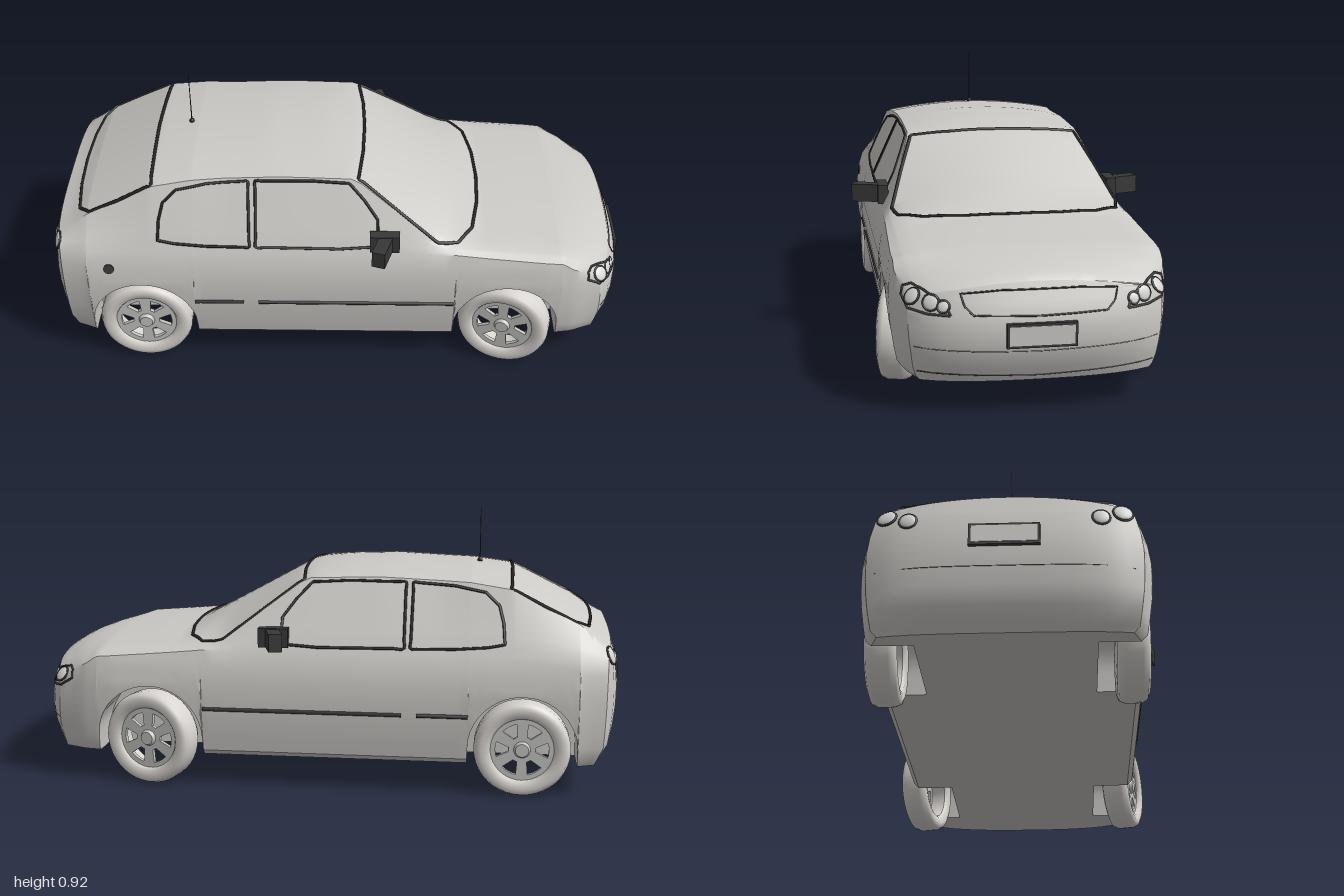
import * as THREE from 'three';
import { mergeVertices, toCreasedNormals } from 'three/addons/utils/BufferGeometryUtils.js';

const mat = (name, color) => new THREE.MeshStandardMaterial({ name, color });
const V = (x, y, z) => new THREE.Vector3(x, y, z);

// piecewise linear lookup in [key, value] pairs
function look(table, k) {
  if (k <= table[0][0]) return table[0][1];
  for (let i = 1; i < table.length; i++) {
    const [a, va] = table[i - 1], [b, vb] = table[i];
    if (k <= b) return va + (vb - va) * (k - a) / (b - a);
  }
  return table[table.length - 1][1];
}

// body shape along x: centre height, cant rail height and half width, end taper
const TOP = [[-1, .54], [-.93, .565], [-.88, .59], [-.64, .712], [-.5, .732], [-.25, .745], [-.05, .738], [.08, .718],
  [.48, .5], [.6, .49], [.75, .475], [.85, .46], [.95, .435], [1, .41]];
const RAIL_Y = [[-1, .5], [-.9, .55], [-.64, .68], [-.5, .7], [-.2, .712], [.05, .705], [.2, .595], [.34, .49],
  [.5, .475], [.75, .455], [.9, .42], [1, .37]];
const RAIL_Z = [[-1, .34], [-.9, .335], [-.64, .32], [-.4, .3], [.05, .3], [.2, .345], [.34, .39], [.5, .385], [.75, .38], [1, .36]];
const TAPER = [[-1, .94], [-.86, 1], [.7, 1], [.88, .97], [1, .89]];
// half width of the lower side by height, and overhang of both ends by height
const SIDE = [[.1, .39], [.125, .415], [.25, .432], [.35, .435], [.42, .425], [.47, .41]];
const NOSE = [[.1, .18], [.14, .2], [.21, .23], [.3, .23], [.35, .21], [.42, .18]];
const TAIL = [[.1, .07], [.17, .12], [.27, .138], [.36, .14], [.45, .13], [.55, .1]];

const FLOOR = .105, ARCH_R = .18, ARCH_Y = .165, AXLES = [-.68, .575], WHEEL_R = .16;

function lowerEdge(x) {
  for (const c of AXLES) {
    const d = Math.abs(x - c);
    if (d <= ARCH_R + 1e-6) return ARCH_Y + Math.sqrt(Math.max(0, ARCH_R ** 2 - d * d));
  }
  return FLOOR;
}

// round the nose and tail in plan and in side view
function warp(u, y, z) {
  const round = p => Math.pow(Math.max(0, 1 - Math.pow(Math.abs(z) / .436, p)), 1 / p);
  if (u > .76) return .76 + (u - .76) / .24 * look(NOSE, y) * round(2.6);
  if (u < -.86) return -.86 + (u + .86) / .14 * look(TAIL, y) * round(3.5);
  return u;
}

// half section from the floor centre, through wheel well and side, to the roof centre
function section(u) {
  const yb = lowerEdge(u), top = look(TOP, u), ry = look(RAIL_Y, u), rz = look(RAIL_Z, u), k = look(TAPER, u);
  const belt = Math.min(.47, ry - .015), pts = [[0, FLOOR], [.27, FLOOR], [.27, yb]];
  for (const t of [0, .05, .18, .35, .52, .7, .85, 1]) {
    const y = yb + (belt - yb) * t;
    pts.push([look(SIDE, y) * k, y]);
  }
  const beltZ = look(SIDE, belt) * k, railZ = Math.min(rz, beltZ - .008);
  for (const t of [.33, .67]) pts.push([beltZ + (railZ - beltZ) * t, belt + (ry - belt) * t]);
  for (let i = 0; i <= 8; i++) {
    const t = i / 8;
    pts.push([railZ * (1 - t), ry + (top - ry) * (1 - (1 - t) ** 2)]);
  }
  return pts;
}

function bodyGeometry() {
  const us = [];
  for (let i = 0; i <= 56; i++) us.push(-1 + i / 28);
  for (const c of AXLES) {
    for (let i = 0; i <= 20; i++) us.push(c + ARCH_R * Math.cos(Math.PI * i / 20));
    us.push(c - ARCH_R - .002, c + ARCH_R + .002);
  }
  us.sort((a, b) => a - b);
  const rows = us.map(section), pos = [];
  const point = (i, j, s) => { const [z, y] = rows[i][j]; return [warp(us[i], y, z * s), y, z * s]; };
  const quad = (a, b, c, d, flip) => flip ? pos.push(...a, ...c, ...b, ...a, ...d, ...c) : pos.push(...a, ...b, ...c, ...a, ...c, ...d);
  const n = rows[0].length, last = us.length - 1;
  for (let j = 0; j < n - 1; j++) {
    for (let i = 0; i < last; i++) for (const s of [1, -1])
      quad(point(i, j, s), point(i + 1, j, s), point(i + 1, j + 1, s), point(i, j + 1, s), s < 0);
    for (let k = -8; k < 8; k++) for (const i of [0, last])
      quad(point(i, j, k / 8), point(i, j + 1, k / 8), point(i, j + 1, (k + 1) / 8), point(i, j, (k + 1) / 8), i === 0);
  }
  const g = new THREE.BufferGeometry();
  g.setAttribute('position', new THREE.Float32BufferAttribute(pos, 3));
  return toCreasedNormals(mergeVertices(g, 1e-5), .6);
}

export function createModel() {
  const car = new THREE.Group();
  const paint = mat('silver paint', 0xcccac6), tyre = mat('pale tyre', 0xd8d4cf), rim = mat('rim grey', 0xc2c2c0);
  const trim = mat('dark trim', 0x383838), seal = mat('black seal', 0x242424), lens = mat('lamp lens', 0xd6d6d4);
  const line = mat('panel line', 0x70706e);
  const add = (name, geo, m, parent = car) => {
    const o = new THREE.Mesh(geo, m);
    o.name = name;
    parent.add(o);
    return o;
  };
  const body = add('body', bodyGeometry(), paint);

  // find the body surface: from the side (x, y), above (x, z) or an end (y, z)
  const ray = new THREE.Raycaster();
  const from = {
    left: (x, y) => [V(x, y, 3), V(0, 0, -1)], right: (x, y) => [V(x, y, -3), V(0, 0, 1)],
    above: (x, z) => [V(x, 3, z), V(0, -1, 0)],
    nose: (y, z) => [V(3, y, z), V(-1, 0, 0)], tail: (y, z) => [V(-3, y, z), V(1, 0, 0)],
  };
  const hit = (dir, a, b) => {
    ray.set(...from[dir](a, b));
    return ray.intersectObject(body)[0];
  };
  // a thin strip following the body surface
  function seam(name, dir, pts, r, m, closed = true) {
    const out = [], edges = closed ? pts.length : pts.length - 1;
    for (let e = 0; e < edges; e++) {
      const p = pts[e], q = pts[(e + 1) % pts.length];
      for (let i = 0; i < 8; i++) out.push(hit(dir, p[0] + (q[0] - p[0]) * i / 8, p[1] + (q[1] - p[1]) * i / 8));
    }
    if (!closed) out.push(hit(dir, ...pts[pts.length - 1]));
    const curve = new THREE.CatmullRomCurve3(out.filter(Boolean).map(h => h.point), closed);
    add(name, new THREE.TubeGeometry(curve, out.length * 2, r, 6, closed), m);
  }
  // a group lying on the surface with +z pointing outward
  function mount(name, dir, a, b) {
    const g = new THREE.Group(), h = hit(dir, a, b);
    g.name = name;
    if (h) { g.position.copy(h.point); g.lookAt(h.point.clone().add(h.face.normal)); }
    car.add(g);
    return g;
  }
  function lamp(name, dir, y, z, r) {
    const g = mount(name, dir, y, z);
    add('lampRing', new THREE.TorusGeometry(r, .0035, 6, 24), trim, g);
    add('lampLens', new THREE.SphereGeometry(r, 20, 10), lens, g).scale.z = .3;
  }

  // window seals
  const rearSide = [[-.615, .51], [-.61, .575], [-.595, .63], [-.55, .67], [-.45, .688], [-.31, .697], [-.307, .49], [-.45, .492], [-.56, .5]];
  const frontSide = [[-.285, .698], [-.1, .7], [.03, .692], [.08, .64], [.125, .58], [.13, .495], [0, .487], [-.285, .49]];
  for (const side of ['left', 'right']) {
    seam('rearSideWindowSeal', side, rearSide, .005, seal);
    seam('frontSideWindowSeal', side, frontSide, .005, seal);
    // rubbing strips and arch edges
    for (const [a, b] of [[-.5, -.33], [-.28, .39]]) seam('rubbingStrip', side, [[a, .272], [b, .272]], .007, trim, false);
  }
  seam('windscreenSeal', 'above', [[.06, -.29], [.075, -.15], [.08, 0], [.075, .15], [.06, .29], [.2, .34], [.33, .382],
    [.4, .365], [.45, .29], [.475, .15], [.482, 0], [.475, -.15], [.45, -.29], [.4, -.365], [.33, -.382], [.2, -.34]], .006, seal);
  seam('rearWindowSeal', 'above', [[-.635, -.315], [-.64, 0], [-.635, .315], [-.75, .325], [-.85, .325], [-.89, .28],
    [-.905, .15], [-.91, 0], [-.905, -.15], [-.89, -.28], [-.85, -.325], [-.75, -.325]], .006, seal);

  // grille outline and bumper joints
  seam('grilleOutline', 'nose', [[.38, -.235], [.388, -.12], [.388, .12], [.38, .235], [.345, .225], [.32, .2], [.315, 0], [.32, -.2], [.345, -.225]], .0028, trim);
  seam('frontBumperJoint', 'nose', [[.215, -.37], [.208, 0], [.215, .37]], .0015, line, false);
  seam('frontLipJoint', 'nose', [[.135, -.36], [.122, 0], [.135, .36]], .002, trim, false);
  seam('rearBumperJoint', 'tail', [[.29, -.38], [.29, .38]], .0015, line, false);

  // lamps
  for (const s of [1, -1]) {
    seam('headlampOutline', 'nose', [[.395, .37 * s], [.385, .34 * s], [.365, .3 * s], [.34, .275 * s], [.318, .265 * s],
      [.32, .33 * s], [.33, .385 * s], [.36, .4 * s], [.385, .395 * s]], .004, trim);
    for (const [y, z, r] of [[.365, .372, .026], [.353, .32, .024], [.343, .285, .018]]) lamp('headlamp', 'nose', y, z * s, r);
    for (const [y, z, r] of [[.475, .35, .03], [.455, .285, .026]]) lamp('tailLamp', 'tail', y, z * s, r);
  }

  // number plates
  for (const [name, dir, y] of [['frontPlate', 'nose', .26], ['rearPlate', 'tail', .39]]) {
    const g = mount(name, dir, y, 0.001);
    add('plateFrame', new THREE.BoxGeometry(.21, .074, .02), trim, g);
    add('platePanel', new THREE.BoxGeometry(.194, .058, .024), paint, g);
  }

  // fuel cap and aerial
  const cap = mount('fuelCap', 'left', -.785, .41);
  add('fuelCapDisc', new THREE.CylinderGeometry(.018, .018, .008, 20), trim, cap).rotation.x = Math.PI / 2;
  add('aerialBase', new THREE.SphereGeometry(.009, 12, 8), seal).position.set(-.525, .732, 0);
  add('aerial', new THREE.CylinderGeometry(.0012, .0022, .19, 6), trim).position.set(-.525, .825, 0);

  // door mirrors
  for (const s of [1, -1]) {
    const m = new THREE.Group();
    m.name = 'doorMirror';
    m.position.set(.15, .518, .4 * s);
    add('mirrorFoot', new THREE.BoxGeometry(.1, .065, .035), trim, m);
    const head = add('mirrorHead', new THREE.BoxGeometry(.045, .06, .1), trim, m);
    head.position.set(-.008, 0, .05 * s);
    head.rotation.y = -.3 * s;
    car.add(m);
  }

  // wheels: rounded tyre and a rim pierced between six spokes, axis along z
  const tyreGeo = new THREE.LatheGeometry([[.105, -.035], [.112, -.045], [.135, -.05], [.152, -.043], [.16, -.025], [.16, .025],
    [.152, .043], [.135, .05], [.112, .045], [.105, .035], [.105, -.035]].map(p => new THREE.Vector2(...p)), 40);
  tyreGeo.rotateX(Math.PI / 2);
  const disc = new THREE.Shape().absarc(0, 0, .108, 0, Math.PI * 2);
  for (let i = 0; i < 6; i++) {
    const a = i * Math.PI / 3, hole = new THREE.Path();
    hole.absarc(0, 0, .088, a - .3, a + .3, false);
    hole.absarc(0, 0, .045, a + .16, a - .16, true);
    hole.closePath();
    disc.holes.push(hole);
  }
  const rimGeo = new THREE.ExtrudeGeometry(disc, { depth: .014, bevelEnabled: false, curveSegments: 24 });
  for (const x of AXLES) for (const s of [1, -1]) {
    const w = new THREE.Group(), front = x > 0;
    w.name = front ? 'frontWheel' : 'rearWheel';
    w.position.set(x, WHEEL_R, s * (front ? .385 : .375));
    w.rotation.y = (front ? -.26 : 0) + (s < 0 ? Math.PI : 0);
    add('tyre', tyreGeo, tyre, w);
    add('rim', rimGeo, rim, w).position.z = .018;
    const hub = add('hub', new THREE.CylinderGeometry(.022, .03, .016, 20), rim, w);
    hub.rotation.x = Math.PI / 2;
    hub.position.z = .036;
    car.add(w);
  }
  return car;
}
